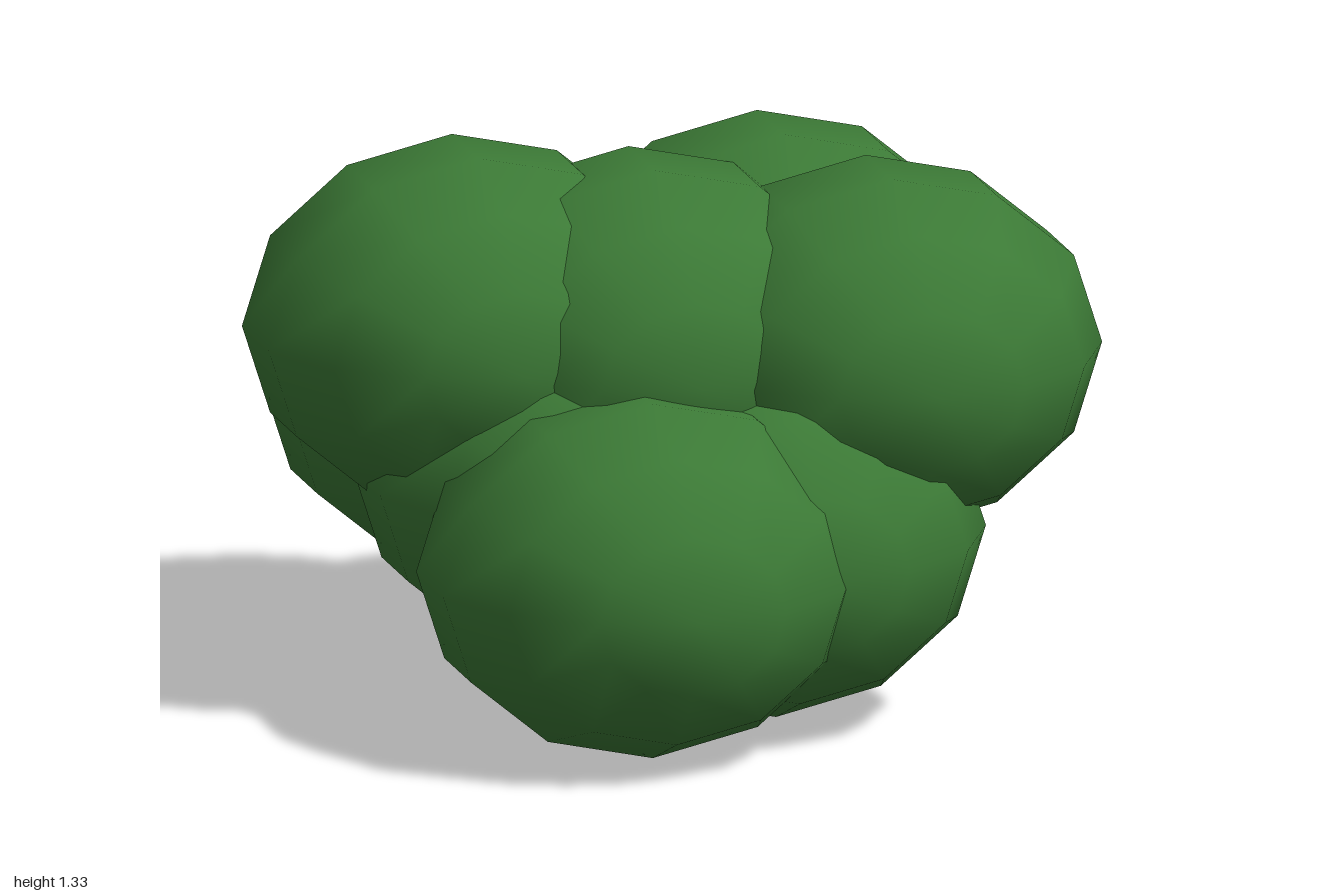
import * as THREE from 'three';

export function createModel() {
  const bush = new THREE.Group();
  bush.name = 'bush';

  const leaf = new THREE.MeshStandardMaterial({ color: 0x3c7a36 });

  // One squashed low-poly ball, poles along z, shared by every clump
  const ball = new THREE.SphereGeometry(0.525, 12, 7);
  ball.rotateX(Math.PI / 2);
  ball.scale(1, 0.84, 1);

  // Centres of the overlapping leaf clumps
  const clumps = {
    lowerFrontClump: [-0.2, 0.435, 0.475],
    lowerFrontLeftClump: [0.155, 0.46, 0.28],
    upperLeftClump: [0.465, 0.86, 0.185],
    upperBackLeftClump: [0.32, 0.87, -0.245],
    upperRightClump: [-0.47, 0.91, -0.08],
    lowerBackRightClump: [-0.31, 0.66, -0.475],
    topMiddleClump: [-0.07, 0.88, 0.03],
    backMiddleClump: [0.05, 0.77, -0.285],
    innerClump: [-0.24, 0.58, 0.07],
  };

  for (const [name, centre] of Object.entries(clumps)) {
    const clump = new THREE.Mesh(ball, leaf);
    clump.name = name;
    clump.position.set(...centre);
    bush.add(clump);
  }
  return bush;
}
